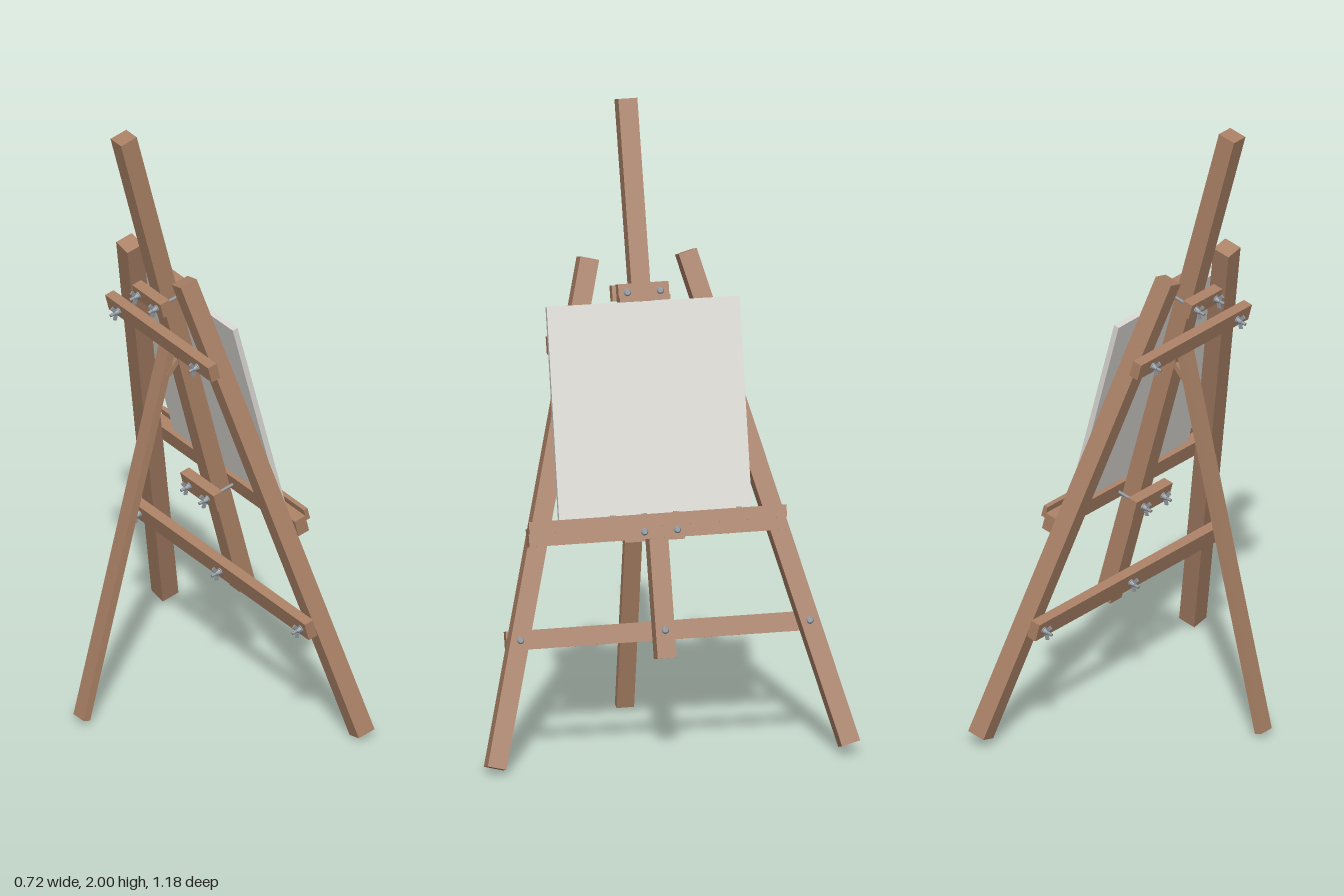
import * as THREE from 'three';

export function createModel() {
  const wood = new THREE.MeshStandardMaterial({ color: 0xaa8166 });
  wood.name = 'wood';
  const canvas = new THREE.MeshStandardMaterial({ color: 0xd9d7d2 });
  canvas.name = 'canvas';
  const steel = new THREE.MeshStandardMaterial({ color: 0x8d949a });
  steel.name = 'steel';

  const model = new THREE.Group();
  model.name = 'easel';

  // Leaning frame: local x = out of the front, y = up the lean, z = sideways
  const frame = new THREE.Group();
  frame.name = 'leaningFrame';
  frame.position.set(0.32, 0, -0.01);
  frame.rotation.set(0.015, -0.02, 0.265, 'YZX');
  model.add(frame);

  function box(name, parent, material, size, pos) {
    const mesh = new THREE.Mesh(new THREE.BoxGeometry(...size), material);
    mesh.name = name;
    mesh.position.set(...pos);
    parent.add(mesh);
    return mesh;
  }

  // Square-ended beam between two points; depth lies near x, width near z
  function beam(name, parent, a, b, depth, width) {
    const p = new THREE.Vector3(...a), q = new THREE.Vector3(...b);
    const mesh = box(name, parent, wood, [depth, p.distanceTo(q), width],
      p.clone().add(q).multiplyScalar(0.5).toArray());
    mesh.quaternion.setFromUnitVectors(new THREE.Vector3(0, 1, 0), q.sub(p).normalize());
    return mesh;
  }

  // Bolt with a domed head at the front and a wing nut at the back
  function bolt(v, u, front, back) {
    const g = new THREE.Group();
    g.name = 'wingBolt';
    g.position.set(0, v, u);
    const rod = (r0, r1, x0, x1, name) => {
      const geo = new THREE.CylinderGeometry(r1, r0, x1 - x0, 12).rotateZ(-Math.PI / 2);
      const mesh = new THREE.Mesh(geo, steel);
      mesh.name = name;
      mesh.position.x = (x0 + x1) / 2;
      g.add(mesh);
    };
    rod(0.005, 0.005, back - 0.034, front, 'boltShank');
    rod(0.012, 0.008, front, front + 0.005, 'boltHead');
    rod(0.012, 0.012, back - 0.004, back, 'washer');
    rod(0.007, 0.010, back - 0.018, back - 0.004, 'nut');
    for (const s of [-1, 1]) {
      const wing = box('nutWing', g, steel, [0.012, 0.02, 0.005], [back - 0.018, s * 0.014, 0]);
      wing.rotation.z = s * 0.5;
    }
    frame.add(g);
  }

  // Mast and the two splayed front legs
  box('mast', frame, wood, [0.06, 1.734, 0.06], [0, 1.197, 0]);
  for (const s of [-1, 1]) {
    beam('frontLeg', frame, [0, 0.028, s * 0.56], [0, 1.58, s * 0.155], 0.06, 0.06);
  }

  // Cross bars behind the legs
  box('upperCrossBar', frame, wood, [0.032, 0.055, 0.585], [-0.046, 1.32, 0]);
  box('lowerCrossBar', frame, wood, [0.032, 0.06, 0.98], [-0.046, 0.417, 0]);
  for (const s of [-1, 1]) {
    bolt(1.32, s * 0.223, 0.03, -0.062);
    bolt(0.417, s * 0.458, 0.03, -0.062);
    bolt(1.466, s * 0.052, 0.066, -0.064);
    bolt(0.725, s * 0.052, 0.07, -0.064);
  }
  bolt(0.417, 0, 0.03, -0.062);

  // Top clamp that slides on the mast
  box('clampFront', frame, wood, [0.036, 0.05, 0.16], [0.048, 1.468, 0]);
  box('clampLip', frame, wood, [0.048, 0.016, 0.16], [0.054, 1.444, 0]);
  box('clampBack', frame, wood, [0.034, 0.05, 0.16], [-0.047, 1.466, 0]);

  // Ledge with a front lip, clamped to the mast by a rear block
  box('ledge', frame, wood, [0.04, 0.056, 0.815], [0.05, 0.73, 0.01]);
  box('ledgeLip', frame, wood, [0.014, 0.038, 0.815], [0.077, 0.76, 0.01]);
  box('ledgeBack', frame, wood, [0.034, 0.06, 0.19], [-0.047, 0.725, 0]);
  for (const u of [-0.25, -0.05, 0.05, 0.15]) {
    box('lipScrew', frame, steel, [0.008, 0.004, 0.016], [0.077, 0.78, u]);
  }

  // Canvas board resting on the ledge
  const board = box('canvasBoard', frame, canvas, [0.018, 0.677, 0.61], [0.054, 1.097, 0.008]);
  board.rotation.x = -0.012;

  // Rear prop leg and its short hinge block under the upper bar
  beam('rearLeg', model, [-0.358, 0.018, -0.018], [-0.047, 1.24, 0], 0.026, 0.055);
  beam('hingeBlock', model, [-0.066, 1.135, 0], [-0.022, 1.185, 0], 0.016, 0.055);

  return model;
}
